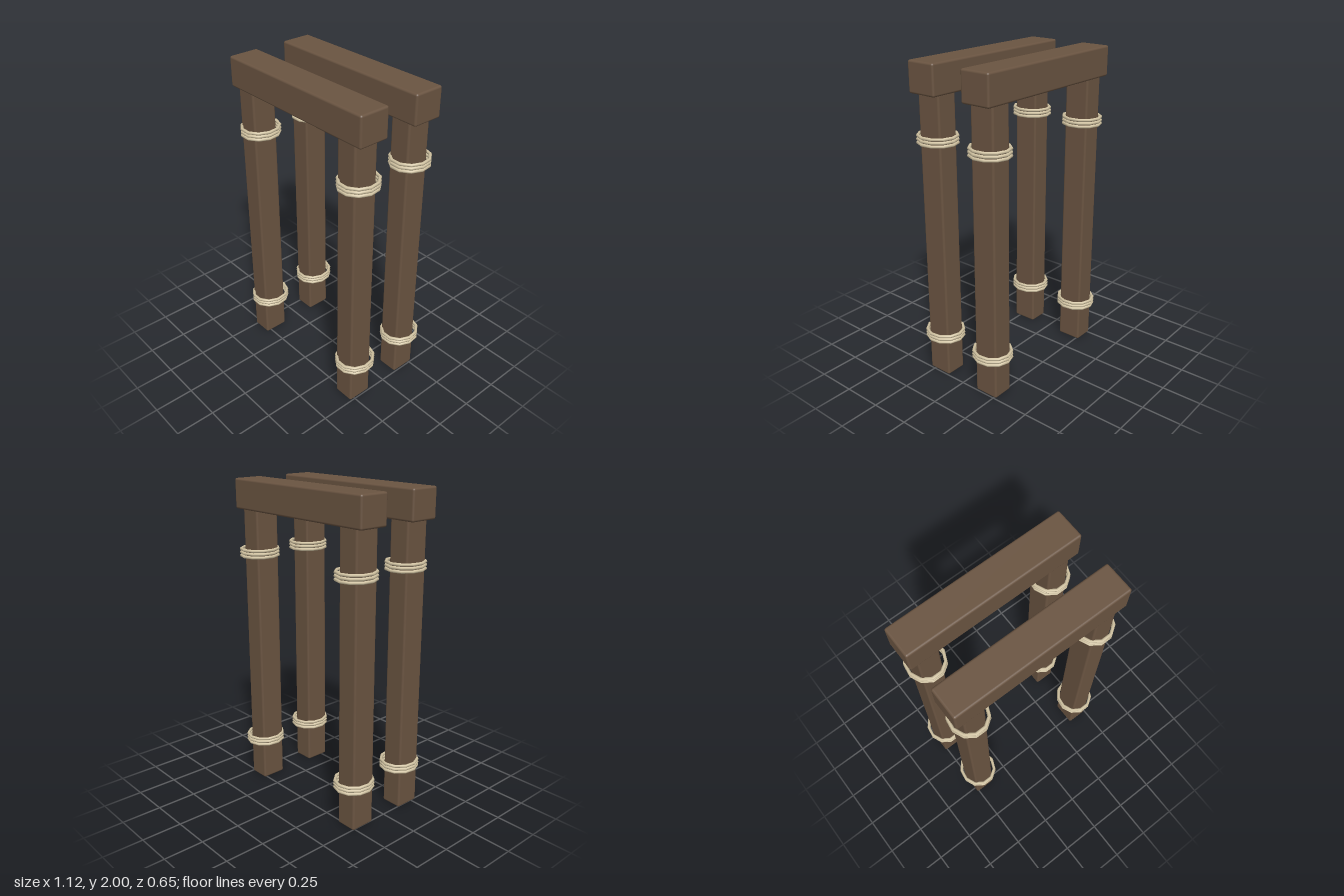
import * as THREE from 'three';
import { RoundedBoxGeometry } from 'three/addons/geometries/RoundedBoxGeometry.js';

export function createModel() {
  const model = new THREE.Group();
  model.name = 'timberFrames';
  const wood = new THREE.MeshStandardMaterial({ name: 'brown wood', color: 0x6a5441 });
  const rope = new THREE.MeshStandardMaterial({ name: 'pale rope', color: 0xcfc1a0 });

  const add = (parent, name, geometry, material, x, y, z) => {
    const mesh = new THREE.Mesh(geometry, material);
    mesh.name = name;
    mesh.position.set(x, y, z);
    parent.add(mesh);
    return mesh;
  };

  const beamGeo = new RoundedBoxGeometry(1.112, 0.186, 0.195, 3, 0.013);
  const postGeo = new RoundedBoxGeometry(0.137, 1.84, 0.16, 3, 0.013);

  // Rope loop: a coarse, slightly oval ring lying flat
  const ropeGeo = new THREE.TorusGeometry(0.112, 0.0095, 8, 11);
  ropeGeo.rotateZ(Math.PI / 2).rotateX(-Math.PI / 2).scale(1, 1, 1.06);

  // Two frames, each with a beam and two roped posts
  for (const [side, z] of [['front', 0.203], ['back', -0.192]]) {
    const frame = new THREE.Group();
    frame.name = side + 'Frame';
    frame.position.z = z;
    model.add(frame);
    add(frame, 'beam', beamGeo, wood, -0.006, 1.907, 0);

    for (const [hand, x] of [['right', -0.443], ['left', 0.428]]) {
      add(frame, hand + 'Post', postGeo, wood, x, 0.925, 0.002);

      // Three turns of rope near the top and the foot
      for (const y of [1.55, 0.28]) {
        for (let i = -1; i <= 1; i++) {
          add(frame, hand + 'RopeTurn', ropeGeo, rope, x + 0.009, y + i * 0.0205, -0.004);
        }
      }
    }
  }
  return model;
}
